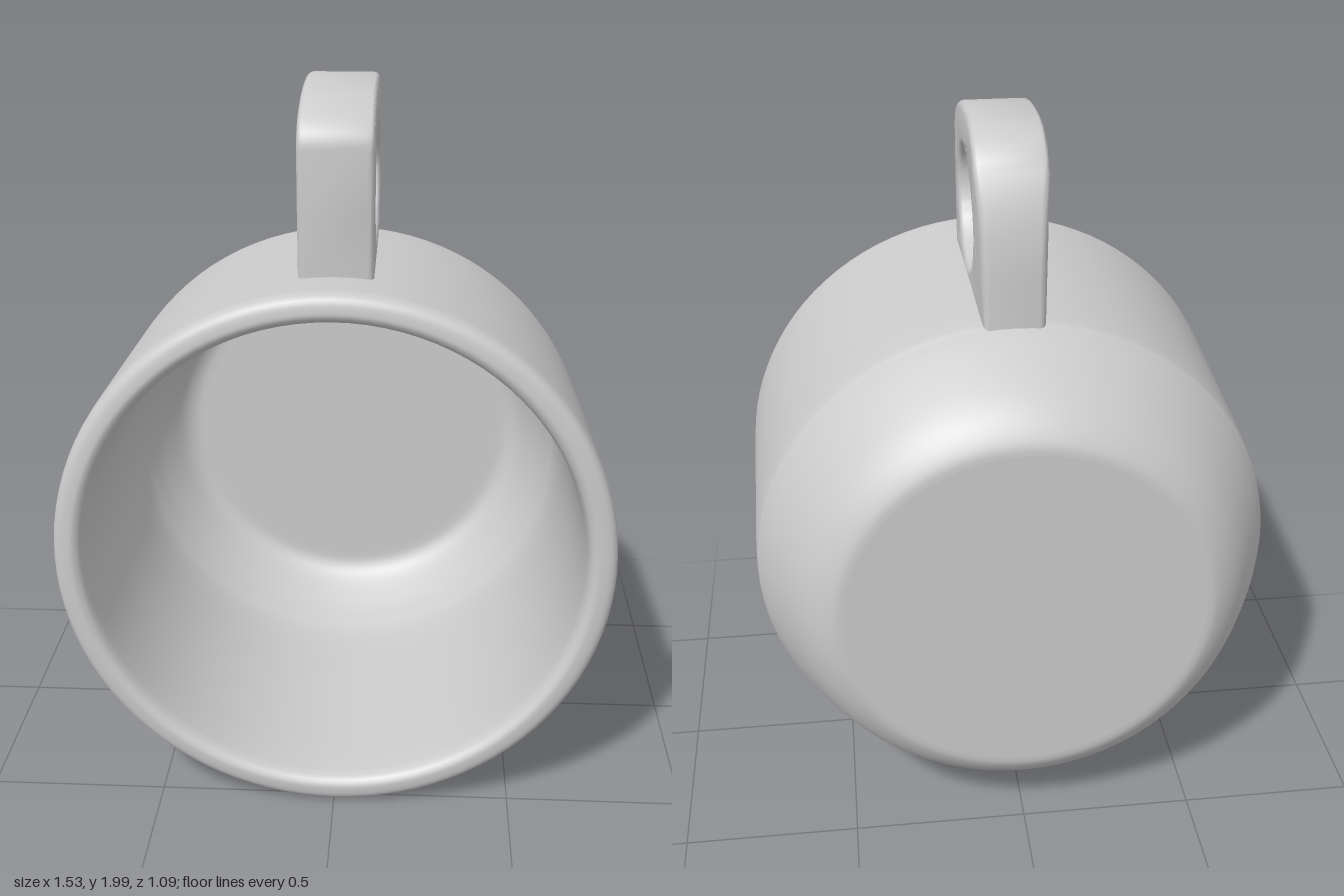
import * as THREE from 'three';
import { mergeVertices, toCreasedNormals } from 'three/addons/utils/BufferGeometryUtils.js';

const AXIS_Y = 0.77;

// Smooth run through [radius, depth] points
function smoothRun(points, steps) {
  return new THREE.SplineCurve(points.map(p => new THREE.Vector2(...p))).getPoints(steps);
}

// Hollow cup: back disc, shoulder, wall, rounded rim, then the inside down to its floor
function cupGeometry() {
  const outside = smoothRun([
    [0.5, -0.545], [0.53, -0.54], [0.57, -0.515], [0.61, -0.475], [0.65, -0.415],
    [0.70, -0.32], [0.728, -0.255], [0.74, -0.2], [0.75, 0.05], [0.764, 0.45],
  ], 40);
  const rim = smoothRun([
    [0.765, 0.5], [0.76, 0.525], [0.745, 0.54], [0.72, 0.545],
    [0.705, 0.543], [0.69, 0.53], [0.683, 0.505],
  ], 18);
  const inside = smoothRun([
    [0.68, 0.46], [0.67, 0.1], [0.66, -0.18], [0.635, -0.28],
    [0.605, -0.35], [0.56, -0.425], [0.52, -0.455], [0.48, -0.46],
  ], 32);
  const profile = [new THREE.Vector2(0, -0.545), ...outside, ...rim, ...inside, new THREE.Vector2(0, -0.46)];
  return new THREE.LatheGeometry(profile, 96).rotateX(Math.PI / 2);
}

// Upright loop with an egg-shaped finger hole; shape x runs towards the back
function handleGeometry() {
  const s = new THREE.Shape();
  s.moveTo(-0.375, 1.48);
  s.lineTo(0.255, 1.48);
  s.lineTo(0.25, 1.58);
  s.bezierCurveTo(0.25, 1.82, 0.19, 1.99, 0.0, 1.998);
  s.bezierCurveTo(-0.08, 2.0, -0.16, 1.996, -0.23, 1.98);
  s.bezierCurveTo(-0.31, 1.96, -0.385, 1.93, -0.385, 1.86);
  s.lineTo(-0.385, 1.7);
  s.lineTo(-0.375, 1.53);

  const hole = new THREE.Path();
  hole.moveTo(-0.285, 1.735);
  hole.bezierCurveTo(-0.285, 1.63, -0.19, 1.562, -0.07, 1.562);
  hole.bezierCurveTo(0.05, 1.562, 0.135, 1.65, 0.135, 1.72);
  hole.bezierCurveTo(0.135, 1.79, 0.03, 1.88, -0.1, 1.88);
  hole.bezierCurveTo(-0.21, 1.88, -0.285, 1.82, -0.285, 1.735);
  s.holes.push(hole);

  const bevel = 0.018;
  let g = new THREE.ExtrudeGeometry(s, {
    depth: 0.2 - 2 * bevel, curveSegments: 16,
    bevelSize: bevel, bevelThickness: bevel, bevelOffset: -bevel, bevelSegments: 4,
  });
  g.translate(0, 0, bevel - 0.1).rotateY(Math.PI / 2);

  // Narrow the back edge
  const p = g.attributes.position;
  for (let i = 0; i < p.count; i++) {
    const t = THREE.MathUtils.smoothstep(-p.getZ(i), 0.16, 0.27);
    p.setX(i, p.getX(i) * (1 - 0.2 * t));
  }
  g.deleteAttribute('uv');
  g.deleteAttribute('normal');
  return toCreasedNormals(mergeVertices(g, 1e-4), 0.6);
}

export function createModel() {
  const group = new THREE.Group();
  group.name = 'mug';
  const material = new THREE.MeshStandardMaterial({ color: 0xcccccc });

  const cup = new THREE.Mesh(cupGeometry(), material);
  cup.name = 'cup';
  cup.position.y = AXIS_Y;

  const handle = new THREE.Mesh(handleGeometry(), material);
  handle.name = 'handle';

  group.add(cup, handle);
  return group;
}
